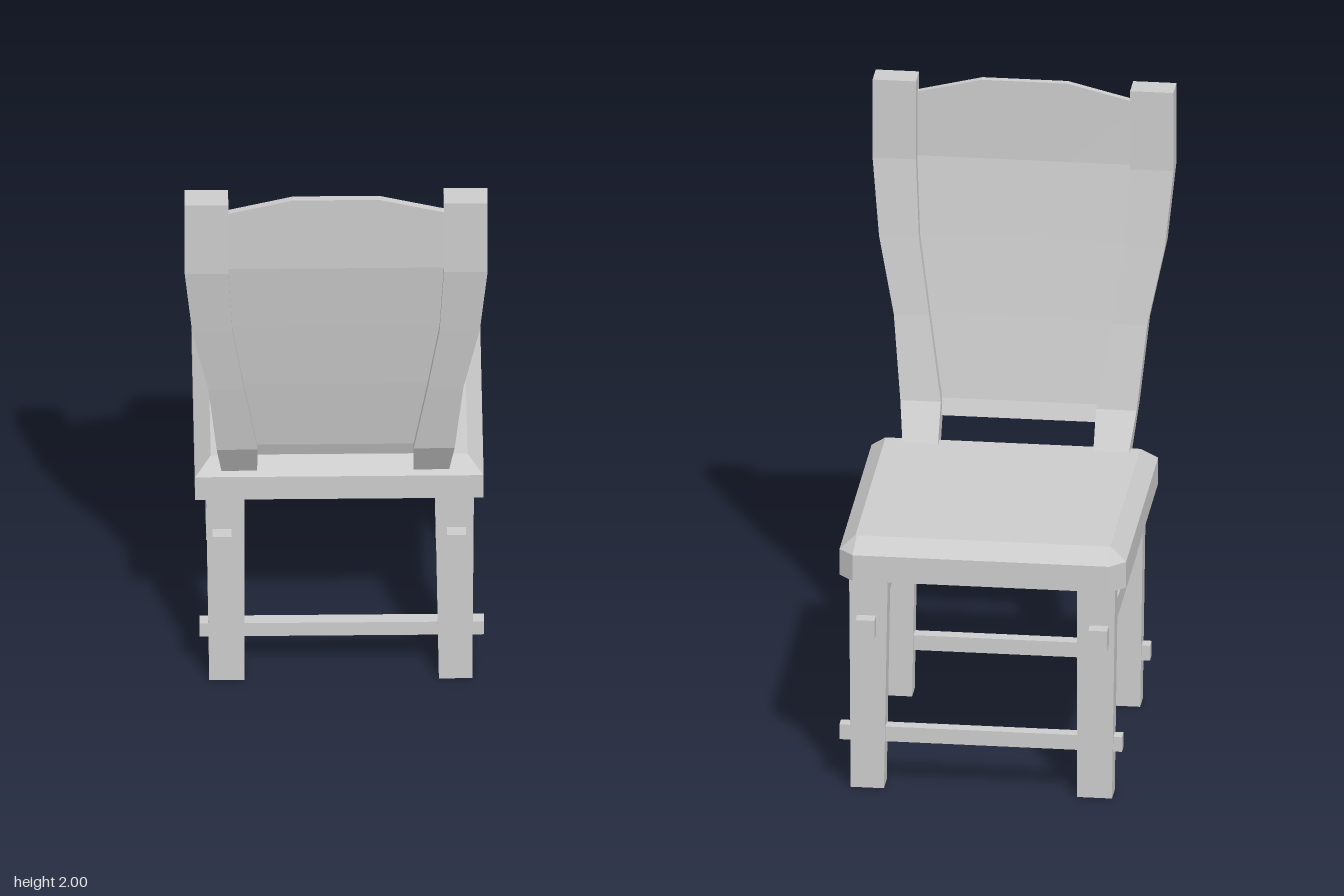
import * as THREE from 'three';

const material = new THREE.MeshStandardMaterial({ color: 0xcccccc, flatShading: true });
const openMaterial = new THREE.MeshStandardMaterial({ color: 0xcccccc, flatShading: true, side: THREE.DoubleSide });

// Joins rings of [x, y, z] points, listed from bottom to top, each counter-clockwise from above.
function loft(rings, capBottom = true) {
  const pos = [];
  const quad = (a, b, c, d) => pos.push(...a, ...b, ...c, ...a, ...c, ...d);
  const n = rings[0].length;
  for (let r = 0; r < rings.length - 1; r++) {
    for (let i = 0; i < n; i++) {
      const j = (i + 1) % n;
      quad(rings[r][i], rings[r][j], rings[r + 1][j], rings[r + 1][i]);
    }
  }
  const top = rings[rings.length - 1], bottom = rings[0];
  for (let i = 0; i < n / 2 - 1; i++) {
    const k = n - 1 - i;
    quad(top[i], top[i + 1], top[k - 1], top[k]);
    if (capBottom) quad(bottom[k], bottom[k - 1], bottom[i + 1], bottom[i]);
  }
  const geometry = new THREE.BufferGeometry();
  geometry.setAttribute('position', new THREE.Float32BufferAttribute(pos, 3));
  geometry.computeVertexNormals();
  return geometry;
}

export function createModel() {
  const chair = new THREE.Group();
  chair.name = 'chair';
  const add = (name, geometry, mat = material) => {
    const mesh = new THREE.Mesh(geometry, mat);
    mesh.name = name;
    chair.add(mesh);
  };
  const box = (name, x0, x1, y0, y1, z0, z1) => {
    const geometry = new THREE.BoxGeometry(x1 - x0, y1 - y0, z1 - z0);
    geometry.translate((x0 + x1) / 2, (y0 + y1) / 2, (z0 + z1) / 2);
    add(name, geometry);
  };

  // Seat with a bevelled top and two clipped corners
  const seatRing = (y, inset, clip) => {
    const l = -0.44 + inset, r = 0.465 - inset, f = -0.55 + inset, b = 0.355 - inset;
    return [[r, b], [r, f + clip], [r - clip, f], [l + clip, f], [l, f + clip], [l, b]]
      .map(([x, z]) => [x, y, z]);
  };
  add('seat', loft([seatRing(0.72, 0, 0.047), seatRing(0.807, 0, 0.047), seatRing(0.855, 0.05, 0.004)]));

  // Legs, slightly tapered and open underneath
  const legSides = [
    { side: 'left', foot: [0.325, 0.43], head: [0.313, 0.435] },
    { side: 'right', foot: [-0.395, -0.285], head: [-0.405, -0.285] },
  ];
  for (const { side, foot, head } of legSides) {
    for (const [end, z0, z1] of [['front', -0.5, -0.425], ['back', 0.255, 0.325]]) {
      const ring = ([x0, x1], y) => [[x1, y, z1], [x1, y, z0], [x0, y, z0], [x0, y, z1]];
      add(`${side} ${end} leg`, loft([ring(foot, 0), ring(head, 0.725)], false), openMaterial);
    }
  }

  // Rails that pass through the legs
  box('left side rail', 0.35, 0.41, 0.52, 0.585, -0.545, 0.368);
  box('right side rail', -0.385, -0.325, 0.52, 0.585, -0.545, 0.368);
  box('front cross rail', -0.425, 0.467, 0.155, 0.205, -0.488, -0.447);
  box('back cross rail', -0.425, 0.467, 0.155, 0.205, 0.263, 0.305);

  // Curved back posts: inner x, outer x, front y and z, back y and z
  const postRows = [
    [0.245, 0.357, 0.85, 0.267, 0.82, 0.34],
    [0.245, 0.373, 0.967, 0.345, 0.967, 0.43],
    [0.288, 0.4, 1.236, 0.398, 1.236, 0.478],
    [0.325, 0.451, 1.485, 0.435, 1.485, 0.515],
    [0.338, 0.475, 1.735, 0.467, 1.735, 0.55],
    [0.338, 0.475, 2, 0.467, 2, 0.55],
  ];
  for (const [side, s] of [['left', 1], ['right', -1]]) {
    const rings = postRows.map(([inner, outer, fy, fz, by, bz]) => {
      const x0 = Math.min(s * inner, s * outer), x1 = Math.max(s * inner, s * outer);
      return [[x1, by, bz], [x1, fy, fz], [x0, fy, fz], [x0, by, bz]];
    });
    add(`${side} back post`, loft(rings));
  }

  // Thin curved back panel with a crested top: half width, edge y, middle y, front z
  const panelRows = [
    [0.27, 0.915, 0.915, 0.362],
    [0.28, 0.967, 0.967, 0.382],
    [0.33, 1.236, 1.236, 0.43],
    [0.36, 1.485, 1.485, 0.468],
    [0.37, 1.735, 1.735, 0.503],
    [0.37, 1.942, 2, 0.505],
  ];
  add('back panel', loft(panelRows.map(([w, edgeY, midY, z]) => {
    const front = [[w, edgeY, z], [0.135, midY, z], [-0.135, midY, z], [-w, edgeY, z]];
    const back = front.map(([x, y]) => [x, y, z + 0.022]).reverse();
    return [...front, ...back];
  })));

  return chair;
}
